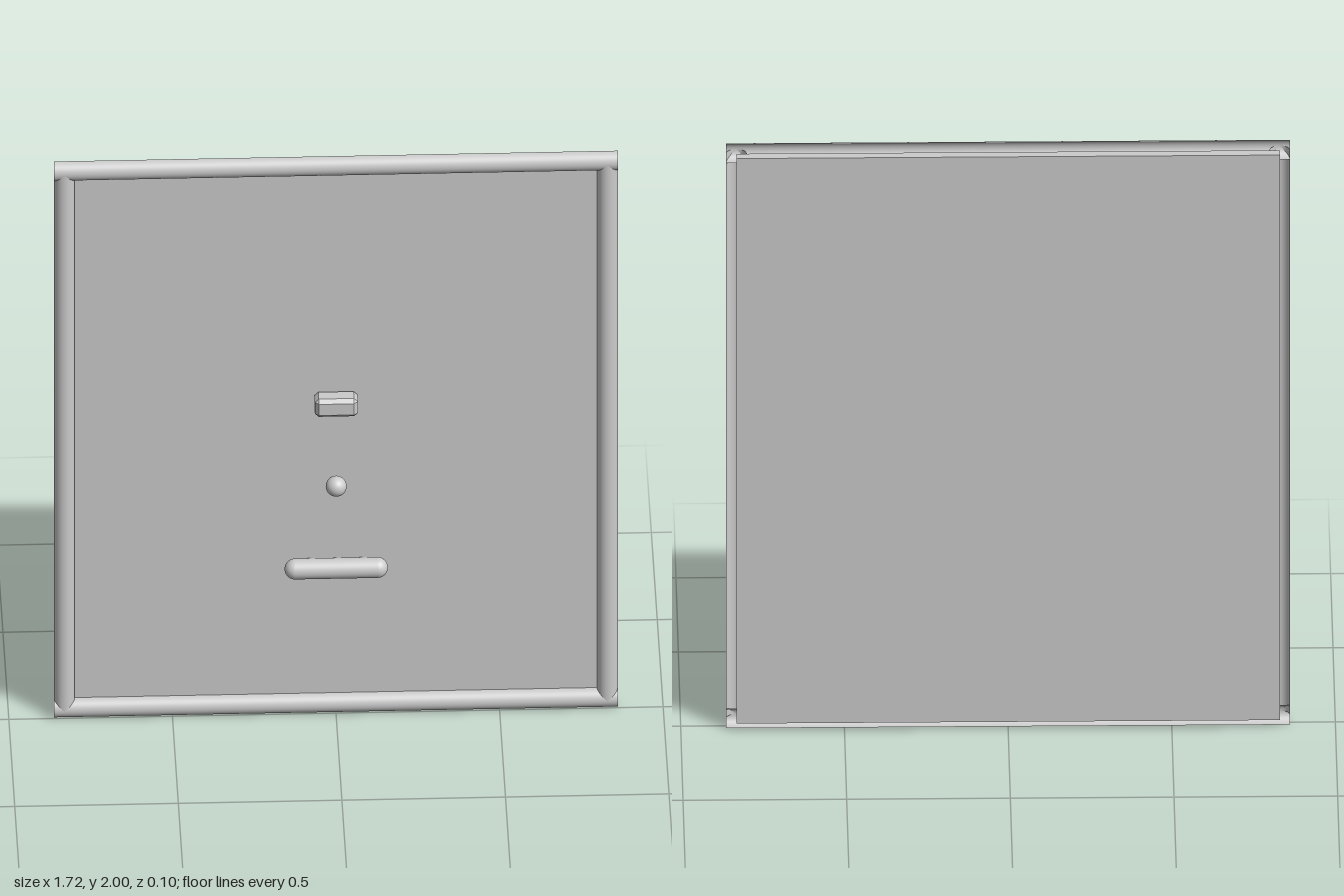
import * as THREE from 'three';
import { ConvexGeometry } from 'three/addons/geometries/ConvexGeometry.js';

const R = 0.032;            // moulding, knob and handle radius
const W = 1.724, H = 2;     // outer size
const FACE = -0.016;        // z of the panel's front face

const grey = new THREE.MeshStandardMaterial({ color: 0xcccccc });
const greyThin = new THREE.MeshStandardMaterial({ color: 0xcccccc, side: THREE.DoubleSide });

// Box with every edge cut at 45 degrees
function chamferedBox(w, h, d, c) {
  const points = [];
  for (const x of [-w / 2, w / 2]) for (const y of [-h / 2, h / 2]) for (const z of [-d / 2, d / 2]) {
    const dx = Math.sign(x) * c, dy = Math.sign(y) * c, dz = Math.sign(z) * c;
    points.push(
      new THREE.Vector3(x, y - dy, z - dz),
      new THREE.Vector3(x - dx, y, z - dz),
      new THREE.Vector3(x - dx, y - dy, z));
  }
  return new ConvexGeometry(points);
}

// Open half-round strip along y, bulging towards +z
function halfRound(length) {
  return new THREE.CylinderGeometry(R, R, length, 32, 1, true, -Math.PI / 2, Math.PI);
}

export function createModel() {
  const model = new THREE.Group();
  model.name = 'framedPanel';
  const add = (name, geometry, x, y, z, material = grey) => {
    const mesh = new THREE.Mesh(geometry, material);
    mesh.name = name;
    mesh.position.set(x, y, z);
    model.add(mesh);
    return mesh;
  };

  // Flat panel reaching to the middle of the mouldings
  add('panel', new THREE.BoxGeometry(W - 2 * R, H - 2 * R, R), 0, H / 2, FACE - R / 2);

  // Half-round frame: full-width rails, stiles ending on the rail axes
  const rail = halfRound(W).rotateZ(Math.PI / 2);
  add('topRail', rail, 0, H - R, FACE, greyThin);
  add('bottomRail', rail, 0, R, FACE, greyThin);
  const stile = halfRound(H - 2 * R);
  add('leftStile', stile, W / 2 - R, H / 2, FACE, greyThin);
  add('rightStile', stile, -W / 2 + R, H / 2, FACE, greyThin);

  // Fittings resting on the front face
  add('block', chamferedBox(0.132, 2 * R, 2 * R, 0.012), 0, 1.125, FACE + R);
  add('knob', new THREE.SphereGeometry(R, 32, 20), 0, 0.829, FACE + R);
  const bar = new THREE.CapsuleGeometry(R, 0.316 - 2 * R, 10, 32).rotateZ(Math.PI / 2);
  add('handle', bar, 0, 0.533, FACE + R);

  return model;
}
